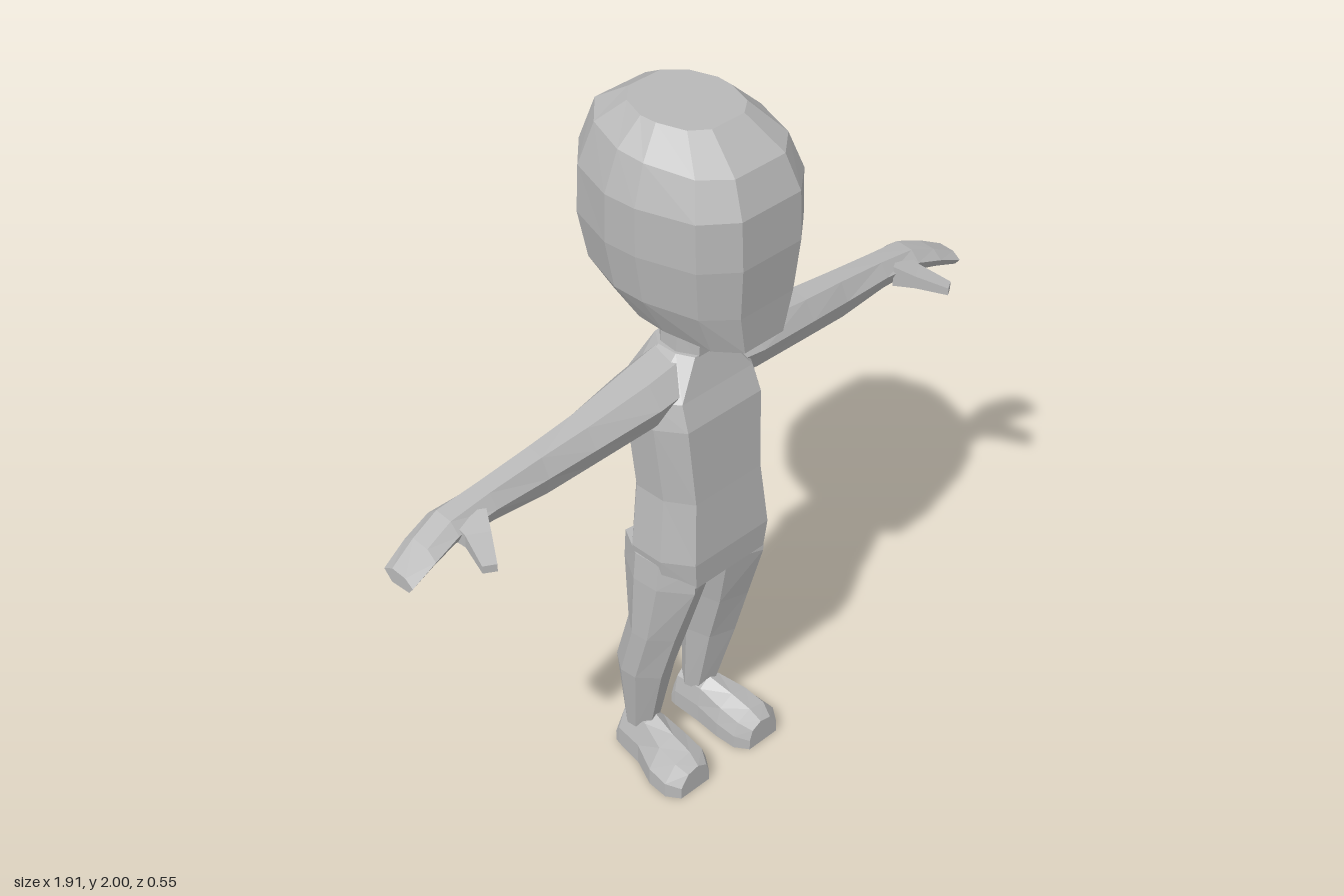
import * as THREE from 'three';

const skin = new THREE.MeshStandardMaterial({ color: 0xb8b8b8, flatShading: true });
skin.name = 'plainGrey';

// Skins a row of matching cross-sections, closes both ends, and faces it outward.
function loft(name, rings, side = 1) {
  const tris = [];
  const n = rings[0].length;
  for (let r = 0; r < rings.length - 1; r++) {
    for (let i = 0; i < n; i++) {
      const j = (i + 1) % n;
      const a = rings[r][i], b = rings[r][j], c = rings[r + 1][j], d = rings[r + 1][i];
      if (i < n / 2) tris.push([a, b, c], [a, c, d]);
      else tris.push([a, b, d], [b, c, d]);
    }
  }
  const first = rings[0], last = rings[rings.length - 1];
  for (let i = 1; i < n - 1; i++) {
    tris.push([first[0], first[i + 1], first[i]], [last[0], last[i], last[i + 1]]);
  }
  const v = tris.map((t) => t.map(([x, y, z]) => new THREE.Vector3(x * side, y, z)));
  const volume = v.reduce((s, [a, b, c]) => s + a.dot(b.clone().cross(c)), 0);
  const points = v.flatMap((t) => (volume < 0 ? [t[0], t[2], t[1]] : t));
  const geometry = new THREE.BufferGeometry().setFromPoints(points);
  geometry.computeVertexNormals();
  const mesh = new THREE.Mesh(geometry, skin);
  mesh.name = name;
  return mesh;
}

const lerp = THREE.MathUtils.lerp;

// Level section: outline in -1..1 stretched to x0..x1 and back..front, tilted front to back.
const level = (outline, x0, x1, front, back, yFront, yBack = yFront) =>
  outline.map(([u, w]) => [
    lerp(x0, x1, (u + 1) / 2),
    lerp(yBack, yFront, (w + 1) / 2),
    lerp(back, front, (w + 1) / 2),
  ]);

const mirrorOutline = (half) => [...half, ...half.map(([u, w]) => [-u, w]).reverse()];
const headOutline = mirrorOutline([[0.42, 1], [0.78, 0.75], [0.98, 0.2], [1, -0.15], [0.8, -0.67], [0.42, -1]]);
const bodyOutline = mirrorOutline([[0.72, 1], [1, 0.4], [1, -0.4], [0.55, -1]]);
const neckOutline = mirrorOutline([[0.6, 1], [1, 0.3], [0.9, -0.5], [0.4, -1]]);
const legOutline = [[0.3, 1], [0.95, 0.35], [1, -0.3], [0.45, -1], [-0.5, -0.9], [-1, -0.2], [-0.75, 0.7]];

function makeHead() {
  return loft('head', [
    [0.07, 0.09, -0.06, 1.385, 1.41],
    [0.155, 0.255, -0.2, 1.45, 1.49],
    [0.21, 0.262, -0.25, 1.56, 1.58],
    [0.23, 0.275, -0.275, 1.7, 1.7],
    [0.23, 0.27, -0.265, 1.83, 1.83],
    [0.195, 0.232, -0.222, 1.92, 1.95],
    [0.125, 0.13, -0.14, 1.995, 2],
  ].map(([w, ...rest]) => level(headOutline, -w, w, ...rest)));
}

function makeTorso() {
  return loft('torso', [
    [0.07, 0.05, -0.05, 0.63],
    [0.17, 0.155, -0.09, 0.7],
    [0.182, 0.16, -0.092, 0.78],
    [0.16, 0.146, -0.09, 0.96],
    [0.177, 0.13, -0.105, 1.18],
    [0.17, 0.105, -0.11, 1.25],
    [0.075, 0.08, -0.07, 1.345],
  ].map(([w, ...rest]) => level(bodyOutline, -w, w, ...rest)));
}

function makeNeck() {
  return loft('neck', [[0.07, 0.08, -0.07, 1.32], [0.065, 0.085, -0.065, 1.42]]
    .map(([w, ...rest]) => level(neckOutline, -w, w, ...rest)));
}

function makeLeg(side) {
  return loft('leg', [
    [0.008, 0.183, 0.155, -0.09, 0.76],
    [0.008, 0.19, 0.152, -0.09, 0.68],
    [0.035, 0.192, 0.09, -0.07, 0.49],
    [0.048, 0.19, 0.042, -0.115, 0.33],
    [0.064, 0.152, -0.02, -0.11, 0.1],
  ].map((s) => level(legOutline, ...s)), side);
}

// Foot sections run from heel to toe: z, inner x, outer x, sole y, top y
function makeFoot(side) {
  return loft('foot', [
    [-0.127, 0.065, 0.15, 0, 0.07],
    [-0.11, 0.062, 0.155, 0, 0.13],
    [-0.02, 0.06, 0.17, 0, 0.14],
    [0.06, 0.053, 0.205, 0, 0.118],
    [0.125, 0.055, 0.21, 0, 0.102],
    [0.162, 0.08, 0.185, 0, 0.078],
  ].map(([z, x0, x1, y0, y1]) => [[0, 0], [1, 0], [1, 0.45], [0.75, 0.9], [0.4, 1], [0.1, 0.8], [0, 0.4]]
    .map(([u, w]) => [lerp(x0, x1, u), lerp(y0, y1, w), z])), side);
}

// Arm sections run from shoulder to fingertips: x, bottom y, top y, back z, front z
function makeArm(side) {
  return loft('arm', [
    [0.06, 1.2, 1.342, -0.085, 0.09],
    [0.18, 1.188, 1.325, -0.075, 0.092],
    [0.38, 1.175, 1.298, -0.045, 0.075],
    [0.52, 1.165, 1.283, -0.036, 0.064],
    [0.68, 1.178, 1.264, -0.036, 0.06],
    [0.8, 1.18, 1.248, -0.045, 0.065],
    [0.88, 1.162, 1.218, -0.035, 0.075],
    [0.955, 1.138, 1.18, -0.02, 0.08],
  ].map(([x, y0, y1, z0, z1]) => [[0.25, 0], [0.85, 0.05], [1, 0.5], [0.75, 0.92], [0.3, 1], [0, 0.6]]
    .map(([u, w]) => [x, lerp(y0, y1, w), lerp(z0, z1, u)])), side);
}

// Thumb sections: centre x, y, z and half width
function makeThumb(side) {
  return loft('thumb', [
    [0.75, 1.21, 0.03, 0.042],
    [0.765, 1.2, 0.09, 0.026],
    [0.802, 1.182, 0.17, 0.015],
  ].map(([x, y, z, r]) => [[-1, -0.7, 0.6], [1, -0.7, -0.6], [1, 0.7, -0.6], [-1, 0.7, 0.6]]
    .map(([a, b, c]) => [x + a * r, y + b * r, z + c * r])), side);
}

export function createModel() {
  const model = new THREE.Group();
  model.name = 'figure';
  model.add(makeHead(), makeNeck(), makeTorso());
  for (const side of [1, -1]) {
    const label = side > 0 ? 'left' : 'right';
    for (const part of [makeArm(side), makeThumb(side), makeLeg(side), makeFoot(side)]) {
      part.name = label + part.name[0].toUpperCase() + part.name.slice(1);
      model.add(part);
    }
  }
  return model;
}
